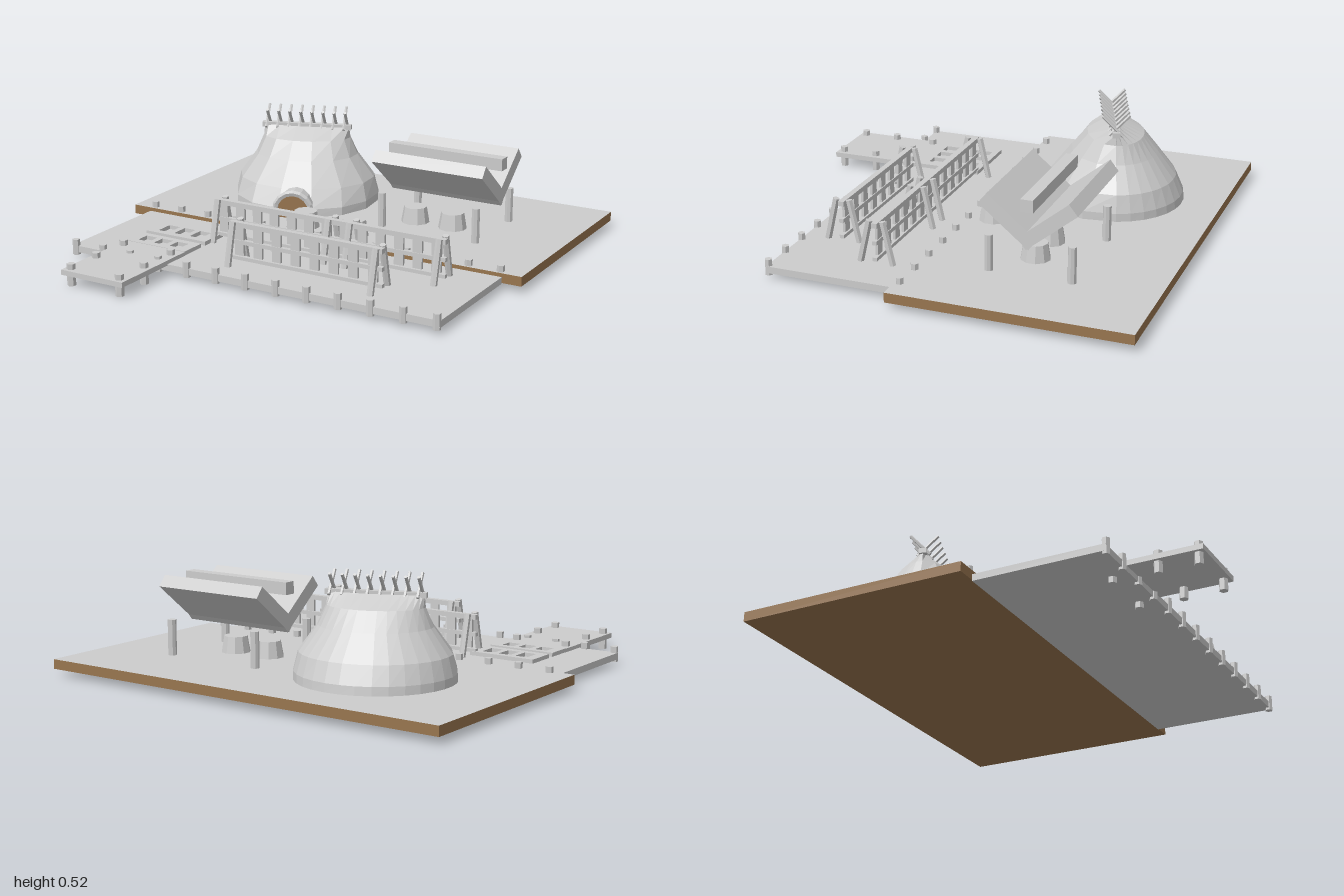
import * as THREE from 'three';

const grey = new THREE.MeshStandardMaterial({ color: 0xcccccc });
grey.name = 'plainGrey';
grey.flatShading = true;
grey.side = THREE.DoubleSide;
const brown = new THREE.MeshStandardMaterial({ color: 0x98754f });
brown.name = 'earthBrown';

export function createModel() {
  const root = new THREE.Group();
  root.name = 'fishingCamp';

  const add = (parent, name, geo, x = 0, y = 0, z = 0, mat = grey) => {
    const m = new THREE.Mesh(geo, mat);
    m.name = name;
    m.position.set(x, y, z);
    parent.add(m);
    return m;
  };
  // Box given by its extents
  const box = (parent, name, x0, x1, y0, y1, z0, z1, mat = grey) =>
    add(parent, name, new THREE.BoxGeometry(x1 - x0, y1 - y0, z1 - z0),
      (x0 + x1) / 2, (y0 + y1) / 2, (z0 + z1) / 2, mat);
  // Upright post
  const post = (parent, name, x, z, y0, y1, r, sides = 6) =>
    add(parent, name, new THREE.CylinderGeometry(r, r, y1 - y0, sides), x, (y0 + y1) / 2, z);
  // Square or round pole between two points
  const pole = (parent, name, a, b, r, sides = 6) => {
    const p = new THREE.Vector3(...a), q = new THREE.Vector3(...b);
    const d = q.clone().sub(p);
    const m = add(parent, name, new THREE.CylinderGeometry(r, r, d.length(), sides));
    m.position.copy(p).add(q).multiplyScalar(0.5);
    m.quaternion.setFromUnitVectors(new THREE.Vector3(0, 1, 0), d.normalize());
    return m;
  };

  // Ground slab: grey top, brown sides and underside
  box(root, 'ground', -1, 1, 0.03, 0.073, -0.97, 0.07, [brown, brown, grey, brown, brown, brown]);

  // Main dock with a row of posts on each long edge
  const dock = new THREE.Group();
  dock.name = 'dock';
  root.add(dock);
  box(dock, 'dockDeck', -0.91, 0.91, 0.026, 0.056, 0.07, 0.65);
  for (let i = -6; i <= 6; i++) {
    post(dock, 'backDockPost', i * 0.149, 0.047, 0.04, 0.1, 0.017);
    post(dock, 'frontDockPost', i * 0.149, 0.645, 0.015, 0.085, 0.017);
  }

  // Small jetty running out from the dock
  box(dock, 'jettyDeck', -0.715, -0.395, 0.05, 0.073, 0.52, 0.97);
  for (const x of [-0.685, -0.43])
    for (const z of [0.575, 0.77, 0.94]) post(dock, 'jettyPost', x, z, 0, 0.097, 0.019);

  // Flat frames with three openings
  for (const [z0, z1] of [[0.22, 0.365], [0.395, 0.52]]) {
    const s = new THREE.Shape();
    s.moveTo(-0.715, -z1).lineTo(-0.395, -z1).lineTo(-0.395, -z0).lineTo(-0.715, -z0);
    for (const x of [-0.64, -0.555, -0.47]) {
      const h = new THREE.Path();
      h.moveTo(x - 0.029, -z1 + 0.032).lineTo(x - 0.029, -z0 - 0.03);
      h.lineTo(x + 0.029, -z0 - 0.03).lineTo(x + 0.029, -z1 + 0.032);
      s.holes.push(h);
    }
    const g = new THREE.ExtrudeGeometry(s, { depth: 0.018, bevelEnabled: false });
    g.rotateX(-Math.PI / 2);
    add(dock, 'openFrame', g, 0, 0.057, 0);
  }

  // Drying racks: A-frames, rails and hanging slats
  const rack = (z, x0, x1, frames) => {
    const r = new THREE.Group();
    r.name = 'dryingRack';
    root.add(r);
    for (const x of frames)
      for (const s of [-1, 1])
        pole(r, 'rackLeg', [x, 0.055, z + s * 0.074], [x, 0.245, z + s * 0.03], 0.015, 6);
    box(r, 'topRail', x0, x1, 0.218, 0.24, z - 0.013, z + 0.013);
    box(r, 'middleRail', x0, x1, 0.142, 0.16, z - 0.01, z + 0.01);
    box(r, 'bottomRail', x0, x1, 0.07, 0.086, z - 0.01, z + 0.01);
    const n = Math.round((x1 - x0) / 0.09);
    for (let i = 0; i < n; i++) {
      const x = x0 + (i + 0.5) * (x1 - x0) / n;
      box(r, 'hangingSlat', x - 0.022, x + 0.022, 0.09, 0.22, z - 0.006, z + 0.006);
    }
  };
  rack(0.235, -0.42, 0.73, [-0.39, 0.18, 0.285, 0.71]);
  rack(0.47, -0.185, 0.56, [-0.155, 0.54]);

  // Hut: round base pinched into a straight ridge
  const hut = new THREE.Group();
  hut.name = 'hut';
  hut.position.set(-0.36, 0, -0.46);
  hut.rotation.y = 0.352;
  root.add(hut);
  // rows: height, half length along the ridge, back depth, front depth
  const rows = [
    [0.073, 0.345, 0.33, 0.34], [0.11, 0.345, 0.325, 0.335], [0.19, 0.325, 0.29, 0.275],
    [0.3, 0.245, 0.205, 0.19], [0.38, 0.21, 0.14, 0.12], [0.43, 0.205, 0.03, 0.03],
  ];
  // broad facets at the front, finer ones at the back
  const angles = [];
  for (let i = 0; i < 7; i++) angles.push(i * Math.PI / 7);
  for (let i = 0; i < 16; i++) angles.push(Math.PI + i * Math.PI / 16);
  const n = angles.length, pos = [], idx = [];
  rows.forEach(([y, rx, back, front], j) => angles.forEach((a, i) => {
    const s = Math.sin(a);
    pos.push(rx * Math.cos(a), y, s * (s > 0 ? front : back));
    if (j === rows.length - 1) return;
    const p = j * n + i, q = j * n + (i + 1) % n;
    idx.push(p, p + n, q, q, p + n, q + n);
  }));
  const shell = new THREE.BufferGeometry();
  shell.setAttribute('position', new THREE.Float32BufferAttribute(pos, 3));
  shell.setIndex(idx);
  const flat = shell.toNonIndexed();
  flat.computeVertexNormals();
  add(hut, 'hutCover', flat);
  box(hut, 'ridgeBeam', -0.215, 0.215, 0.418, 0.441, -0.017, 0.017);
  for (let i = 0; i < 8; i++) {
    const x = -0.187 + i * 0.0535;
    for (const s of [-1, 1])
      pole(hut, 'ridgeStick', [x + s * 0.006, 0.42, -s * 0.03], [x + s * 0.006, 0.512, s * 0.06], 0.0075, 5);
  }

  // Arched doorway with a short hood
  const hood = new THREE.CylinderGeometry(0.088, 0.088, 0.11, 8, 1, true, -Math.PI / 2, Math.PI);
  hood.rotateX(-Math.PI / 2);
  hood.rotateZ(Math.PI);
  hood.computeBoundingBox();
  if (hood.boundingBox.min.y < -0.05) hood.rotateZ(Math.PI);
  add(hut, 'doorHood', hood, 0, 0.11, 0.3);
  add(hut, 'doorArch', new THREE.TorusGeometry(0.085, 0.014, 5, 8, Math.PI), 0, 0.11, 0.357);
  for (const s of [-1, 1]) post(hut, 'doorPost', s * 0.085, 0.357, 0.07, 0.112, 0.014, 5);
  const door = new THREE.Shape();
  door.moveTo(-0.08, 0).lineTo(0.08, 0).lineTo(0.08, 0.037);
  door.absarc(0, 0.037, 0.08, 0, Math.PI, false);
  add(hut, 'door', new THREE.ExtrudeGeometry(door, { depth: 0.008, bevelEnabled: false, curveSegments: 5 }),
    0, 0.073, 0.338, brown);

  // Shelter: two slabs in a V with a beam above and four posts below
  const shelter = new THREE.Group();
  shelter.name = 'shelter';
  shelter.position.set(0.405, 0, -0.42);
  root.add(shelter);
  for (const s of [-1, 1]) {
    const slab = add(shelter, 'shelterSlab', new THREE.BoxGeometry(0.55, 0.06, 0.28), 0, 0.315, s * 0.085);
    slab.rotation.x = -s * 0.68;
    for (const x of [-0.235, 0.235]) post(shelter, 'shelterPost', x, s * 0.18, 0.07, 0.232, 0.019, 8);
  }
  box(shelter, 'shelterBeam', -0.285, 0.285, 0.37, 0.425, -0.027, 0.027);

  // Tapered tubs
  for (const [x, z] of [[-0.13, -0.063], [0.125, -0.063], [0.27, -0.38], [0.46, -0.38]])
    add(root, 'tub', new THREE.CylinderGeometry(0.053, 0.066, 0.075, 10), x, 0.109, z);

  return root;
}
